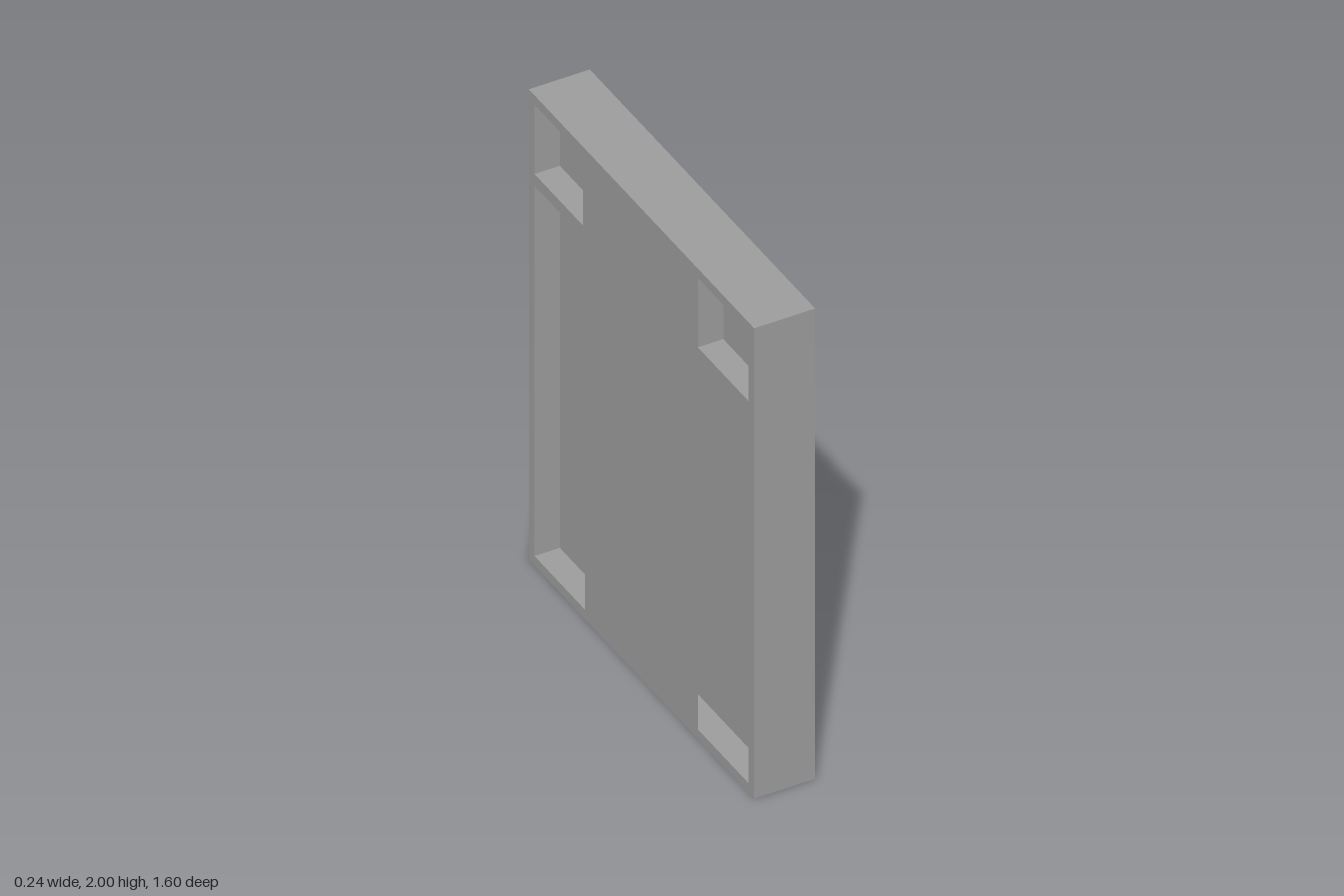
import * as THREE from 'three';

const HEIGHT = 2, DEPTH = 1.6, THICK = 0.24, WEB = 0.04;

// Adds a rectangle (u across, v up) to a shape or hole path
function rect(path, u0, v0, u1, v1) {
  path.moveTo(u0, v0);
  path.lineTo(u1, v0);
  path.lineTo(u1, v1);
  path.lineTo(u0, v1);
  path.closePath();
  return path;
}

export function createModel() {
  const group = new THREE.Group();
  const material = new THREE.MeshStandardMaterial({ color: 0x9c9c9c, flatShading: true });
  const sheetMaterial = new THREE.MeshStandardMaterial({
    color: 0x9c9c9c, flatShading: true, side: THREE.DoubleSide,
  });

  const add = (name, geometry, mat = material) => {
    const mesh = new THREE.Mesh(geometry, mat);
    mesh.name = name;
    group.add(mesh);
    return mesh;
  };

  // Outer frame, drawn with u = -z: two corner pockets and one wide lower cavity
  const outline = rect(new THREE.Shape(), -DEPTH / 2, 0, DEPTH / 2, HEIGHT);
  const openings = [
    [-0.76, 1.665, -0.4, 1.96],
    [0.415, 1.665, 0.76, 1.96],
    [-0.76, 0.04, 0.76, 1.615],
  ];
  for (const o of openings) outline.holes.push(rect(new THREE.Path(), ...o));
  const frame = new THREE.ExtrudeGeometry(outline, { depth: THICK, bevelEnabled: false });
  frame.translate(0, 0, -THICK / 2);
  frame.rotateY(Math.PI / 2);
  add('frame', frame);

  // Central web that closes the openings halfway through
  const web = add('web', new THREE.BoxGeometry(WEB, 1.96, 1.56));
  web.position.y = HEIGHT / 2;

  // Thin panels covering the middle of the lower cavity on both faces
  for (const side of [1, -1]) {
    const panel = add(side > 0 ? 'leftPanel' : 'rightPanel', new THREE.PlaneGeometry(0.8, 1.575), sheetMaterial);
    panel.rotation.y = side * Math.PI / 2;
    panel.position.set(side * THICK / 2, 0.8275, 0);
  }

  return group;
}
